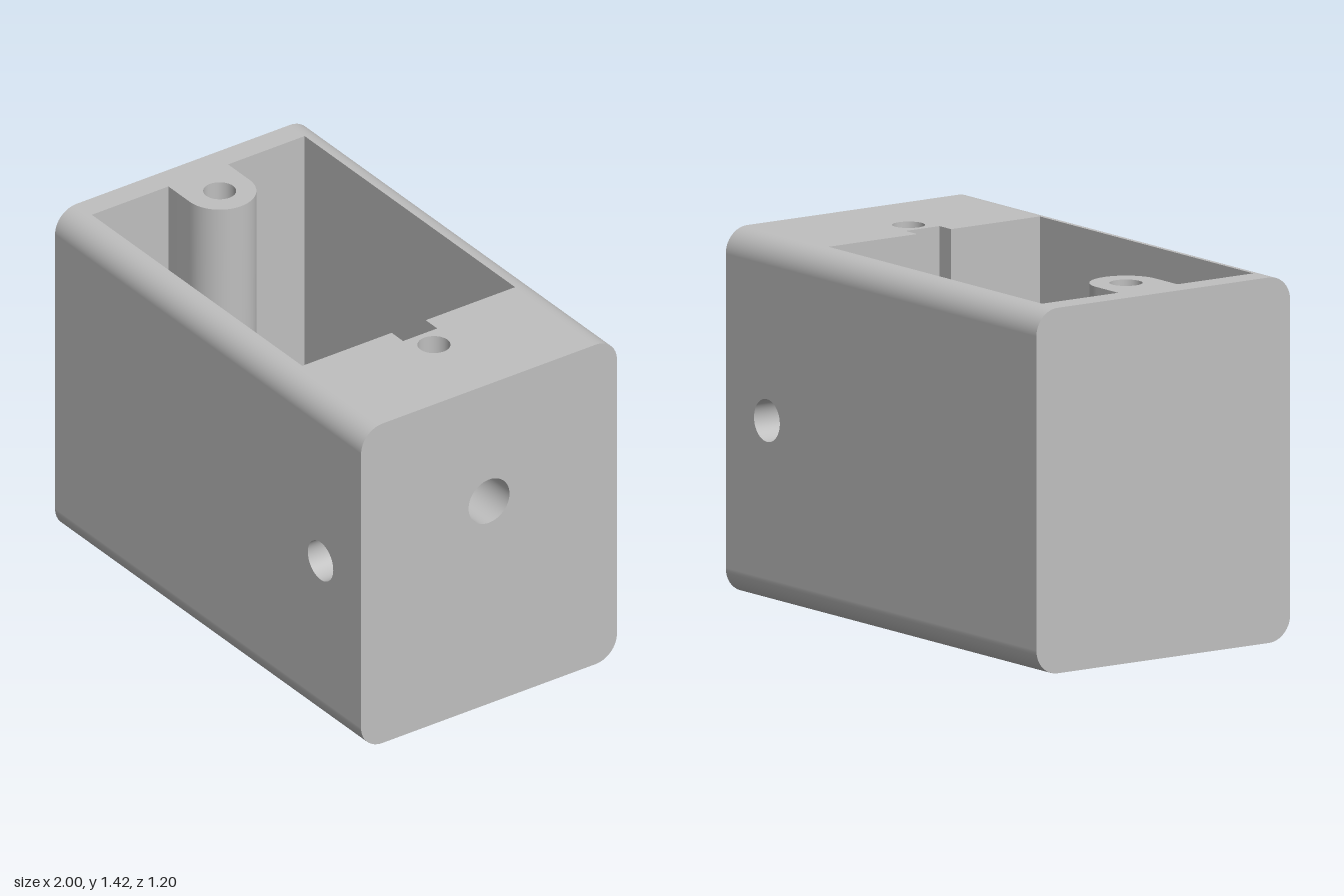
import * as THREE from 'three';
import { toCreasedNormals } from 'three/addons/utils/BufferGeometryUtils.js';

const H = 1.42, D = 0.6, R = 0.1;               // height, half depth, edge radius
const FLOOR = 0.1, CX0 = -0.9, CX1 = 0.475, CZ = 0.499; // cavity
const NOTCH = { x: 0.55, w: 0.08 };
const SIDE = { y: 0.9, r: 0.096 };              // hole through the right end
const CROSS = { x: 0.735, y: 0.715, r: 0.083 }; // hole from front to back
const PORT = { x: -0.09, r: 0.247, rim: 0.304, chamfer: 0.057, ledge: 0.32, top: 0.4 };
const BOSS = { x: -0.76, r: 0.14 }, SCREW = { r: 0.063, y: 1.05, xs: [-0.76, 0.64] };

const pt = (x, y) => new THREE.Vector2(x, y);
const rect = (x0, y0, x1, y1) => [pt(x0, y0), pt(x1, y0), pt(x1, y1), pt(x0, y1)];
function arc(cx, cy, r, a0, a1, n = 24) {
  return Array.from({ length: n + 1 }, (_, i) => {
    const a = a0 + (a1 - a0) * i / n;
    return pt(cx + r * Math.cos(a), cy + r * Math.sin(a));
  });
}
const circle = (cx, cy, r) => arc(cx, cy, r, 0, Math.PI * 2, 64).slice(0, -1);

export function createModel() {
  const model = new THREE.Group();
  model.name = 'enclosure';
  const grey = new THREE.MeshStandardMaterial({ color: 0xbfbfbf, side: THREE.DoubleSide });
  grey.name = 'grey plastic';

  const add = (name, geo, x = 0, y = 0, z = 0) => {
    const mesh = new THREE.Mesh(geo, grey);
    mesh.name = name;
    mesh.position.set(x, y, z);
    model.add(mesh);
    return mesh;
  };
  const face = (outline, holes = []) => {
    const s = new THREE.Shape(outline);
    s.holes = holes.map(h => new THREE.Path(h));
    return new THREE.ShapeGeometry(s);
  };
  const up = g => g.rotateX(-Math.PI / 2);
  const endways = g => g.rotateY(Math.PI / 2);
  const tube = (r0, r1, len, start = 0, sweep = Math.PI * 2) =>
    new THREE.CylinderGeometry(r0, r1, len, 64, 1, true, start, sweep);
  // Upright wall following a path in plan
  const wall = (path, y0, y1) => {
    const pos = [];
    for (let i = 0; i < path.length - 1; i++) {
      const a = path[i], b = path[i + 1];
      pos.push(a.x, y0, a.y, b.x, y0, b.y, b.x, y1, b.y,
        a.x, y0, a.y, b.x, y1, b.y, a.x, y1, a.y);
    }
    const g = new THREE.BufferGeometry();
    g.setAttribute('position', new THREE.Float32BufferAttribute(pos, 3));
    g.computeVertexNormals();
    return toCreasedNormals(g, 0.5);
  };
  const closed = p => [...p, p[0]];

  // Front and back walls with the cross hole
  const cross = circle(CROSS.x, CROSS.y, CROSS.r);
  add('frontWall', face(rect(-1, R, 1, H - R), [cross]), 0, 0, D);
  const backHole = circle(-CROSS.x, CROSS.y, CROSS.r);
  add('backWall', face(rect(-1, R, 1, H - R), [backHole]).rotateY(Math.PI), 0, 0, -D);
  add('crossHole', tube(CROSS.r, CROSS.r, 2 * D).rotateX(Math.PI / 2), CROSS.x, CROSS.y, 0);

  // Rounded long edges
  for (const sy of [-1, 1]) for (const sz of [-1, 1]) {
    const q = Math.PI / 2;
    const a = Math.atan2(sy, sz) - q / 2;
    const profile = arc(0, 0, R, a, a + q, 16);
    const pos = [], nor = [], idx = [];
    profile.forEach((p, i) => {
      for (const x of [-1, 1]) {
        pos.push(x, p.y, p.x);
        nor.push(0, p.y / R, p.x / R);
      }
      if (i) idx.push(2 * i - 2, 2 * i - 1, 2 * i, 2 * i, 2 * i - 1, 2 * i + 1);
    });
    const g = new THREE.BufferGeometry();
    g.setAttribute('position', new THREE.Float32BufferAttribute(pos, 3));
    g.setAttribute('normal', new THREE.Float32BufferAttribute(nor, 3));
    // wind every strip so that it faces outward
    g.setIndex(idx.reverse());
    add('roundedEdge', g, 0, sy > 0 ? H - R : R, sz * (D - R));
  }

  // Rounded end walls, the right one pierced
  const q = Math.PI / 2, w = D - R;
  const end = [...arc(w, H - R, R, 0, q, 16), ...arc(-w, H - R, R, q, 2 * q, 16),
    ...arc(-w, R, R, 2 * q, 3 * q, 16), ...arc(w, R, R, 3 * q, 4 * q, 16)];
  add('leftEnd', endways(face(end, [circle(0, SIDE.y, SIDE.r)])), 1);
  add('rightEnd', face(end).rotateY(-q), -1);

  // Cavity outline with the screw boss growing from one end
  const cavity = [pt(CX1, CZ), pt(CX0, CZ), pt(CX0, BOSS.r),
    ...arc(BOSS.x, 0, BOSS.r, q, -q, 32),
    pt(CX0, -BOSS.r), pt(CX0, -CZ), pt(CX1, -CZ)];
  const n = NOTCH.w;
  const opening = [...cavity, pt(CX1, -n), pt(NOTCH.x, -n), pt(NOTCH.x, n), pt(CX1, n)];
  const screws = SCREW.xs.map(x => circle(x, 0, SCREW.r));
  add('topFace', up(face(rect(-1, -w, 1, w), [opening, ...screws])), 0, H);
  add('cavityWalls', wall(cavity, FLOOR, H));

  // Screw holes
  for (const x of SCREW.xs) {
    add('screwHole', tube(SCREW.r, SCREW.r, H - SCREW.y), x, (H + SCREW.y) / 2);
    add('screwHoleBottom', up(new THREE.CircleGeometry(SCREW.r, 48)), x, SCREW.y);
  }

  // Inner end wall with the keyhole-shaped cable slot
  const t = Math.acos(n / SIDE.r), slotY = SIDE.y + SIDE.r * Math.sin(t);
  const keyhole = [pt(-CZ, FLOOR), pt(CZ, FLOOR), pt(CZ, H), pt(n, H),
    ...arc(0, SIDE.y, SIDE.r, t, -Math.PI - t, 48), pt(-n, H), pt(-CZ, H)];
  add('innerEndWall', endways(face(keyhole)), CX1);
  add('slotBack', endways(face([pt(n, H), pt(-n, H),
    ...arc(0, SIDE.y, SIDE.r, Math.PI - t, t, 24)])), NOTCH.x);
  for (const s of [-1, 1]) add('slotSide', wall([pt(CX1, s * n), pt(NOTCH.x, s * n)], slotY, H));
  add('cableHole', tube(SIDE.r, SIDE.r, 1 - NOTCH.x).rotateZ(q), (1 + NOTCH.x) / 2, SIDE.y);
  const trough = arc(0, SIDE.y, SIDE.r, t, -Math.PI - t, 48);
  // a plan-view wall turned on its side: (x, y, z) becomes (y, z, x)
  const troughGeo = wall(trough, CX1, NOTCH.x);
  troughGeo.applyMatrix4(new THREE.Matrix4().set(0, 1, 0, 0, 0, 0, 1, 0, 1, 0, 0, 0, 0, 0, 0, 1));
  add('cableTrough', troughGeo);

  // Floor and the square collar standing on it
  const square = h => rect(PORT.x - h, -h, PORT.x + h, h);
  const outer = square(0.286), inner = square(0.212);
  add('floor', up(face(cavity, [outer])), 0, FLOOR);
  add('collarOutside', wall(closed(outer), FLOOR, PORT.top));
  add('collarTop', up(face(outer, [inner])), 0, PORT.top);
  add('collarInside', wall(closed(inner), PORT.ledge, PORT.top));

  // Ledge where the square socket meets the round bore
  const c = Math.acos(0.212 / PORT.r), clipped = [];
  for (let k = 0; k < 4; k++) clipped.push(...arc(PORT.x, 0, PORT.r, k * q + c, (k + 1) * q - c, 8));
  add('collarLedge', up(face(outer, [clipped])), 0, PORT.ledge);

  // Round bore, its chamfer and the underside
  add('bore', tube(PORT.r, PORT.r, PORT.ledge - PORT.chamfer), PORT.x, (PORT.ledge + PORT.chamfer) / 2);
  add('boreChamfer', tube(PORT.r, PORT.rim, PORT.chamfer), PORT.x, PORT.chamfer / 2);
  add('underside', face(rect(-1, -w, 1, w), [circle(PORT.x, 0, PORT.rim)]).rotateX(q));

  return model;
}
